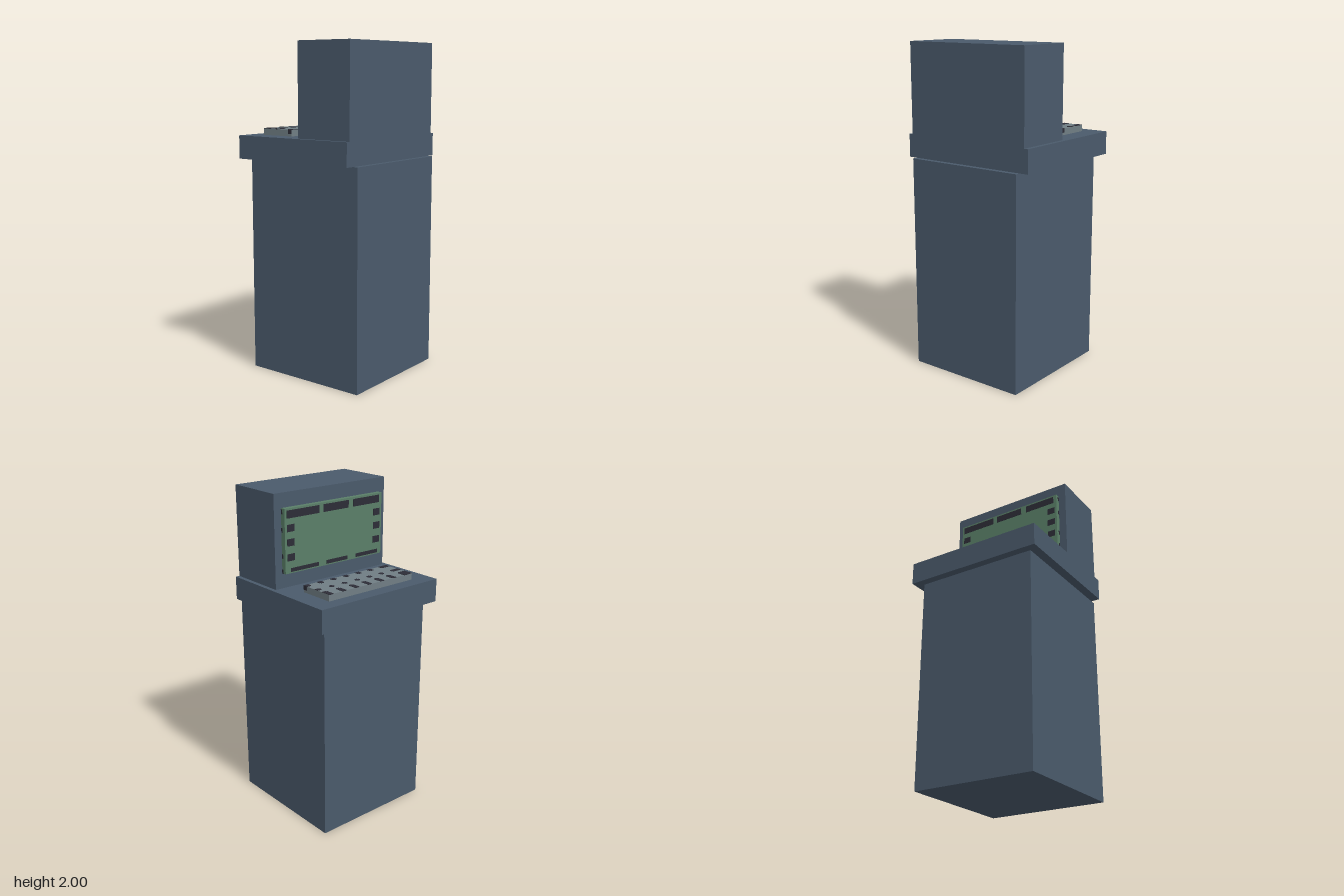
import * as THREE from 'three';

export function createModel() {
  const root = new THREE.Group();
  root.name = 'computerTerminal';

  const mat = (name, color) => {
    const m = new THREE.MeshStandardMaterial({ color });
    m.name = name;
    return m;
  };
  const slate = mat('slate casing', 0x4a5a6b);
  const green = mat('green screen', 0x5a7f68);
  const grey = mat('grey keys', 0x707e84);
  const dark = mat('dark marks', 0x2d2d37);

  // Box given by its limits on each axis
  const box = (parent, name, material, [x0, x1], [y0, y1], [z0, z1]) => {
    const mesh = new THREE.Mesh(new THREE.BoxGeometry(x1 - x0, y1 - y0, z1 - z0), material);
    mesh.position.set((x0 + x1) / 2, (y0 + y1) / 2, (z0 + z1) / 2);
    mesh.name = name;
    parent.add(mesh);
  };

  // Casing
  box(root, 'pedestal', slate, [-0.387, 0.387], [0, 1.31], [-0.373, 0.422]);
  box(root, 'desk', slate, [-0.443, 0.443], [1.31, 1.45], [-0.422, 0.39]);
  box(root, 'monitorHousing', slate, [-0.417, 0.417], [1.45, 2], [0.022, 0.39]);

  // Screen on the back of the housing, with broken dark bands around its edge
  const screen = new THREE.Group();
  screen.name = 'screen';
  root.add(screen);
  const W = 0.368, top = 1.915, H = 0.375, face = -0.01;
  box(screen, 'screenPanel', green, [-W, W], [top - H, top], [face, 0.022]);
  const screenMark = (u0, u1, v0, v1) => box(screen, 'screenMark', dark,
    [W - 2 * W * u1, W - 2 * W * u0], [top - H * v1, top - H * v0], [face - 0.002, face + 0.002]);
  for (const [u0, u1] of [[0.02, 0.34], [0.38, 0.64], [0.69, 0.97]]) {
    screenMark(u0, u1, 0.03, 0.15);
    screenMark(u0 + 0.03, u1 - 0.01, 0.92, 0.98);
  }
  for (const v of [0.3, 0.52, 0.75]) {
    screenMark(0.02, 0.09, v - 0.055, v + 0.055);
    screenMark(0.91, 0.98, v - 0.055, v + 0.055);
  }
  // Small marks on the screen's ends
  for (const s of [-1, 1])
    for (const y of [1.895, 1.79, 1.64, 1.55])
      box(screen, 'screenEndMark', dark, [s * W - 0.001, s * W + 0.001],
        [y - 0.013, y + 0.013], [0.01, 0.022]);

  // Keyboard
  const keyboard = new THREE.Group();
  keyboard.name = 'keyboard';
  root.add(keyboard);
  const K = 0.32, kTop = 1.489, back = -0.335, front = -0.112;
  box(keyboard, 'keyboardBase', grey, [-K, K], [1.45, kTop], [back, front]);
  const keyMark = (x0, x1, z0, z1) => box(keyboard, 'keyGap', dark,
    [x0, x1], [kTop - 0.002, kTop + 0.002], [z0, z1]);

  // Seven columns of gaps, the first one double width
  const unit = 0.032, notch = 0.007;
  for (let i = 0; i < 7; i++) {
    const x0 = -K + (i === 0 ? 0 : (1 + 3 * i) * unit);
    const x1 = -K + (2 + 3 * i) * unit;
    const n0 = i === 0 ? x0 : x0 + notch;
    const n1 = i === 6 ? x1 : x1 - notch;
    keyMark(x0, x1, back, -0.281);
    keyMark(n0, n1, -0.281, -0.274);
    keyMark(n0, n1, -0.24, -0.232);
    keyMark(x0, x1, -0.232, -0.218);
    keyMark(n0, n1, -0.218, -0.21);
    keyMark(n0, n1, -0.145, -0.138);
    keyMark(x0, x1, -0.138, front);
  }
  // Dark corners on the keyboard's ends
  for (const s of [-1, 1])
    box(keyboard, 'keyboardEndMark', dark, [s * K - 0.001, s * K + 0.001],
      [1.465, kTop], [-0.14, front]);

  return root;
}
